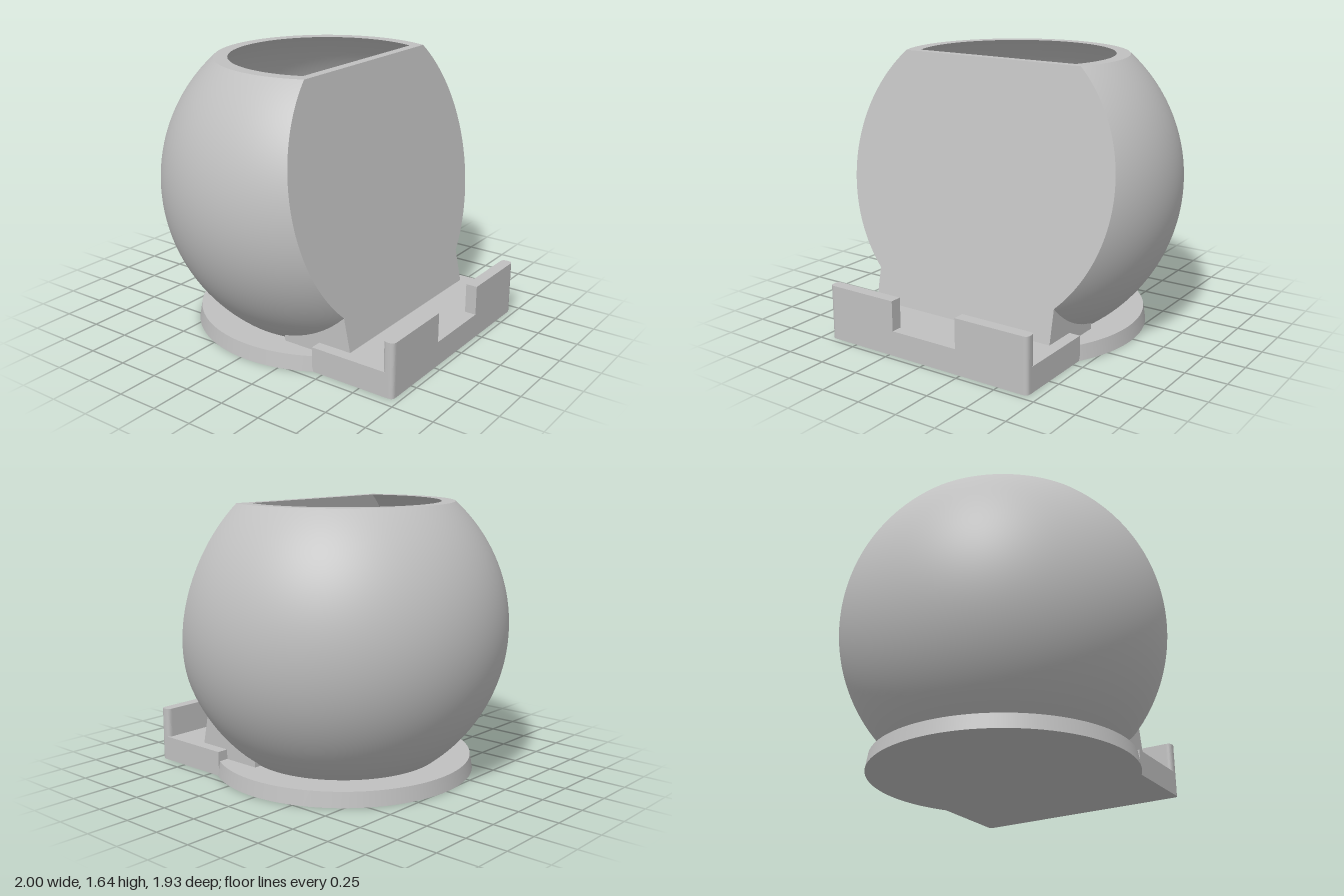
import * as THREE from 'three';

const CY = 0.895, CZ = 0.035;          // centre of the globe
const TOP = 1.64;                      // height of the opening
const SLOPE = 0.2148;                  // lean of the flat front
const frontZ = (y) => 0.32 + (TOP - y) * SLOPE;

// Horizontal ring of a sphere, cut off by the leaning front plane (open arc, +x end first)
function ring(radius, inset, y, segments) {
  const r = Math.sqrt(Math.max(0, radius * radius - (y - CY) ** 2));
  const a = Math.acos(THREE.MathUtils.clamp((frontZ(y) - inset - CZ) / r, -1, 1));
  return Array.from({ length: segments + 1 }, (_, i) => {
    const t = a + (2 * Math.PI - 2 * a) * i / segments;
    return new THREE.Vector3(r * Math.sin(t), y, CZ + r * Math.cos(t));
  });
}

function rings(radius, inset, y0, count = 56, segments = 112) {
  const t0 = Math.asin((y0 - CY) / radius), t1 = Math.asin((TOP - CY) / radius);
  return Array.from({ length: count + 1 }, (_, i) =>
    ring(radius, inset, CY + radius * Math.sin(t0 + (t1 - t0) * i / count), segments));
}

// Geometry from quads of corners; the optional centre gives smooth radial normals
function quads(list, flip = false, centre = null) {
  const pos = [], nor = [];
  for (const [a, b, c, d] of list) {
    for (const p of flip ? [a, c, b, a, d, c] : [a, b, c, a, c, d]) {
      pos.push(p.x, p.y, p.z);
      if (centre) {
        const n = p.clone().sub(centre).normalize().multiplyScalar(flip ? -1 : 1);
        nor.push(n.x, n.y, n.z);
      }
    }
  }
  const g = new THREE.BufferGeometry();
  g.setAttribute('position', new THREE.Float32BufferAttribute(pos, 3));
  if (centre) g.setAttribute('normal', new THREE.Float32BufferAttribute(nor, 3));
  else g.computeVertexNormals();
  return g;
}

// Curved wall and flat front between stacked rings
function wall(rs, flip) {
  const curved = [], flat = [];
  for (let k = 0; k < rs.length - 1; k++) {
    const b = rs[k], t = rs[k + 1], n = b.length - 1;
    for (let i = 0; i < n; i++) curved.push([b[i], b[i + 1], t[i + 1], t[i]]);
    if (b[0].x > 1e-4 || t[0].x > 1e-4) flat.push([b[n], b[0], t[0], t[n]]);
  }
  return {
    curved: quads(curved, flip, new THREE.Vector3(0, CY, CZ)),
    flat: quads(flat, flip),
  };
}

export function createModel() {
  const model = new THREE.Group();
  model.name = 'globeHolder';
  const grey = new THREE.MeshStandardMaterial({ color: 0xc0c0c0 });
  grey.name = 'grey';
  const add = (name, geometry, x = 0, y = 0, z = 0) => {
    const m = new THREE.Mesh(geometry, grey);
    m.name = name;
    m.position.set(x, y, z);
    model.add(m);
    return m;
  };

  // Hollow globe with a leaning flat front
  const outer = rings(1, 0, 0.085), inner = rings(0.947, 0.057, 0.15);
  const shell = wall(outer, false), cavity = wall(inner, true);
  add('globeShell', shell.curved);
  add('frontPanel', shell.flat);
  add('cavityWall', cavity.curved);
  add('cavityFront', cavity.flat);

  // Flat rim around the opening
  const o = outer.at(-1), n = inner.at(-1);
  add('rim', quads(o.map((p, i) => {
    const j = (i + 1) % o.length;
    return [p, o[j], n[j], n[i]];
  })));

  // Cavity floor
  add('cavityFloor', new THREE.CircleGeometry(0.584, 96).rotateX(-Math.PI / 2), 0, 0.15, CZ);

  // Round foot with a slight taper
  add('footDisc', new THREE.CylinderGeometry(0.785, 0.8, 0.09, 128), 0, 0.045, CZ);

  // Support block under the flat front, its face in line with the front panel
  const profile = new THREE.Shape([[0.185, 0.01], [frontZ(0.01), 0.01], [frontZ(0.345), 0.345], [0.185, 0.345]]
    .map(([z, y]) => new THREE.Vector2(-z, y)));
  add('supportBlock', new THREE.ExtrudeGeometry(profile, { depth: 1.24, bevelEnabled: false })
    .translate(0, 0, -0.62).rotateY(Math.PI / 2));

  // Shelf in front, with its low lip in the middle
  add('shelf', new THREE.BoxGeometry(1.38, 0.15, 0.5), 0, 0.075, 0.68);
  add('lipMiddle', new THREE.BoxGeometry(0.46, 0.15, 0.065), 0, 0.075, 0.9325);

  // Raised lip on each side, rounded at the outer end
  for (const s of [1, -1]) {
    const r = 0.03, x = 0.69, z0 = 0.895, z1 = 0.965;
    const plan = new THREE.Shape();
    plan.moveTo(s * 0.22, -z0);
    plan.lineTo(s * 0.22, -z1);
    plan.lineTo(s * (x - r), -z1);
    plan.quadraticCurveTo(s * x, -z1, s * x, -z1 + r);
    plan.lineTo(s * x, -z0 - r);
    plan.quadraticCurveTo(s * x, -z0, s * (x - r), -z0);
    plan.closePath();
    add(s > 0 ? 'lipLeft' : 'lipRight',
      new THREE.ExtrudeGeometry(plan, { depth: 0.33, bevelEnabled: false, curveSegments: 8 })
        .rotateX(-Math.PI / 2));
  }
  return model;
}
